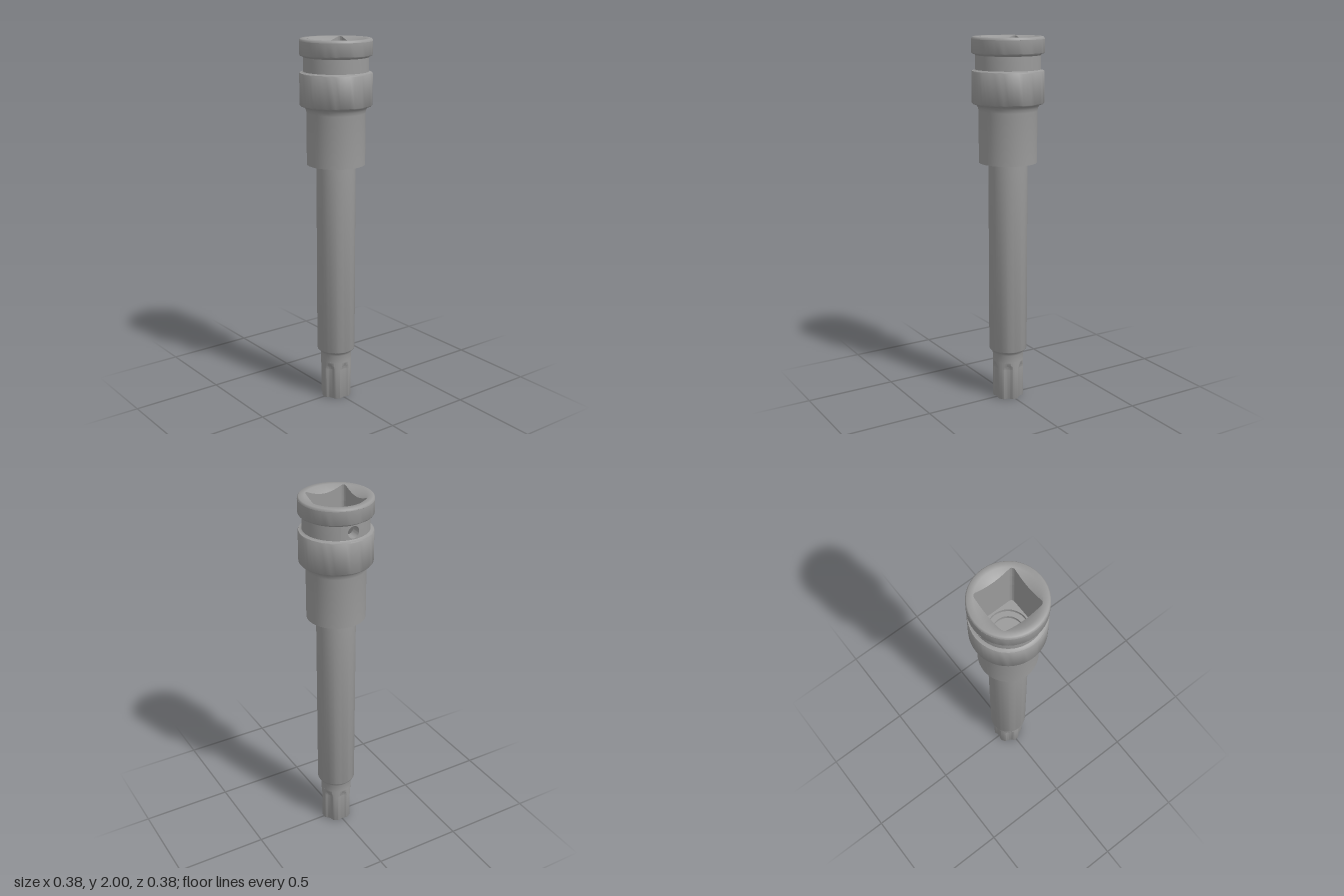
import * as THREE from 'three';
import { toCreasedNormals } from 'three/addons/utils/BufferGeometryUtils.js';

const SEGMENTS = 48;
const TAU = Math.PI * 2;
const steel = new THREE.MeshStandardMaterial({ color: 0x9a9a9a });

function part(name, geometry) {
  const mesh = new THREE.Mesh(toCreasedNormals(geometry, 0.8), steel);
  mesh.name = name;
  return mesh;
}

// Turned part from [radius, height] pairs; rising profiles face outwards
function turned(name, profile, start = 0, length = TAU, segments = SEGMENTS) {
  const points = profile.map(([r, y]) => new THREE.Vector2(r, y));
  return part(name, new THREE.LatheGeometry(points, segments, start, length));
}

// Skin over rows of [x, y, z] points
function loft(name, rows, closed = true) {
  const n = rows[0].length;
  const index = [];
  for (let i = 0; i < rows.length - 1; i++) {
    for (let j = 0; j < (closed ? n : n - 1); j++) {
      const k = (j + 1) % n;
      const a = i * n + j, b = i * n + k, c = b + n, d = a + n;
      index.push(a, c, b, a, d, c);
    }
  }
  const geometry = new THREE.BufferGeometry();
  geometry.setAttribute('position', new THREE.Float32BufferAttribute(rows.flat(2), 3));
  geometry.setIndex(index);
  return part(name, geometry);
}

// Rounded square outline [x, z]; the last SIDE points belong to the -z side
const HALF = 0.115, CORNER = 0.018, SIDE = 9;
function squareOutline() {
  const points = [];
  const inner = HALF - CORNER;
  const corner = (q, t) => {
    const c = -Math.PI / 4 + q * Math.PI / 2;
    const a = c + (t - 0.5) * Math.PI / 2;
    return [
      Math.sign(Math.cos(c)) * inner + CORNER * Math.cos(a),
      Math.sign(Math.sin(c)) * inner + CORNER * Math.sin(a),
    ];
  };
  for (let q = 0; q < 4; q++) {
    for (let i = 0; i <= 5; i++) points.push(corner(q, i / 5));
    const from = corner(q, 1), to = corner(q + 1, 0);
    for (let i = 1; i <= SIDE; i++) {
      const t = i / (SIDE + 1);
      points.push([from[0] + (to[0] - from[0]) * t, from[1] + (to[1] - from[1]) * t]);
    }
  }
  return points;
}

// Square drive opening: softly rounded rim, conical lead-in, walls and floor
function driveSocket(rimRadius, rimY, floorY, boreRadius, bandTop, bandBottom) {
  const group = new THREE.Group();
  group.name = 'driveSocket';
  const outline = squareOutline();
  const level = y => outline.map(([x, z]) => [x, y, z]);
  const ring = (r, y) => outline.map(([x, z]) => {
    const s = r / Math.hypot(x, z);
    return [x * s, y, z * s];
  });
  const mouth = outline.map(([x, z]) => [x, 2 - (0.157 - Math.hypot(x, z)) * 0.7, z]);
  const open = row => row.slice(0, row.length - SIDE);
  group.add(
    loft('socketMouth', [
      ring(rimRadius, rimY), ring(rimRadius - 0.002, 1.995), ring(rimRadius - 0.007, 2),
      ring(0.157, 2), mouth,
    ]),
    loft('socketUpperWall', [mouth, level(bandTop)]),
    // the -z wall of this band is filled by the pin hole
    loft('socketMiddleWall', [open(level(bandTop)), open(level(bandBottom))], false),
    loft('socketLowerWall', [level(bandBottom), level(floorY)]),
    loft('socketFloor', [level(floorY), ring(boreRadius, floorY)]),
  );
  return group;
}

// Radial retaining hole from the groove surface through to the socket wall
function pinHole(y, grooveRadius, halfAngle, grooveHalf, wallHalf) {
  const COUNT = 32, RADIUS = 0.032;
  const row = (w, h, t, place) => Array.from({ length: COUNT }, (_, j) => {
    const c = Math.cos(j / COUNT * TAU), s = Math.sin(j / COUNT * TAU);
    const k = 1 / Math.max(Math.abs(c), Math.abs(s));
    const u = THREE.MathUtils.lerp(c * RADIUS, c * k * w, t);
    const v = THREE.MathUtils.lerp(s * RADIUS, s * k * h, t);
    return place(u, y + v);
  });
  const wrap = (u, v) => [
    grooveRadius * Math.sin(u / grooveRadius), v, -grooveRadius * Math.cos(u / grooveRadius),
  ];
  const flat = (u, v) => [u, v, -HALF];
  const width = grooveRadius * halfAngle;
  const rows = [1, 0.66, 0.33, 0].map(t => row(width, grooveHalf, t, wrap));
  rows.push(row(0, 0, 0, flat), row(HALF - CORNER, wallHalf, 1, flat));
  return loft('pinHole', rows);
}

// Six-flute driving tip; the shallow flutes run out in rounded arches
function flutedTip(radius, topY) {
  const COUNT = 144, FLUTE = 0.05, DEPTH_CENTRE = 0.124;
  const section = (y, scale, runout) => Array.from({ length: COUNT }, (_, j) => {
    const a = j / COUNT * TAU;
    const off = (a % (TAU / 6)) - TAU / 12;
    const d = DEPTH_CENTRE + (radius + FLUTE - DEPTH_CENTRE) * runout;
    const disc = FLUTE ** 2 - (d * Math.sin(off)) ** 2;
    const cut = disc > 0 ? d * Math.cos(off) - Math.sqrt(disc) : radius;
    const r = Math.min(radius, cut) * scale;
    return [r * Math.cos(a), y, r * Math.sin(a)];
  });
  const rows = [section(0, 0, 0), section(0, 0.96, 0), section(0.007, 1, 0), section(0.17, 1, 0)];
  for (let i = 1; i <= 8; i++) rows.push(section(0.17 + 0.04 * i / 8, 1, (i / 8) ** 2));
  rows.push(section(topY, 1, 1));
  return loft('flutedTip', rows);
}

export function createModel() {
  const model = new THREE.Group();
  model.name = 'bitSocket';

  const tipRadius = 0.086, tipTop = 0.22, shaftRadius = 0.105;
  const bodyRadius = 0.192, grooveRadius = 0.172, grooveY = 1.868;
  const grooveHalf = 0.037, wallHalf = 0.045, gap = Math.PI / 8;
  const floorY = 1.65, rimY = 1.988;

  model.add(flutedTip(tipRadius, tipTop));

  // Long bit shaft with a small shoulder above the tip
  model.add(turned('shaft', [
    [tipRadius, tipTop], [tipRadius, 0.262], [0.09, 0.273], [0.097, 0.28],
    [0.103, 0.283], [shaftRadius, 0.288], [shaftRadius, 1.34],
  ]));

  // Stepped socket body up to the groove
  model.add(turned('body', [
    [shaftRadius, 1.339], [0.156, 1.339], [0.156, 1.615], [0.159, 1.632],
    [0.167, 1.645], [0.178, 1.651], [0.187, 1.653], [bodyRadius, 1.659],
    [bodyRadius, 1.82], [0.189, 1.825], [0.177, 1.827], [grooveRadius, grooveY - grooveHalf],
  ]));

  // Retaining groove, left open where the pin hole sits
  model.add(turned('groove', [
    [grooveRadius, grooveY - grooveHalf], [grooveRadius, grooveY + grooveHalf],
  ], Math.PI + gap, TAU - 2 * gap, 42));
  model.add(pinHole(grooveY, grooveRadius, gap, grooveHalf, wallHalf));

  // Head above the groove
  model.add(turned('head', [
    [grooveRadius, grooveY + grooveHalf], [0.177, 1.911], [0.189, 1.914],
    [bodyRadius, 1.919], [bodyRadius, rimY],
  ]));

  model.add(driveSocket(
    bodyRadius, rimY, floorY, shaftRadius, grooveY + wallHalf, grooveY - wallHalf,
  ));

  // Stepped round bore below the square floor
  model.add(turned('floorBore', [
    [shaftRadius, floorY], [shaftRadius, floorY - 0.02], [0.078, floorY - 0.02],
    [0.078, floorY - 0.04], [0, floorY - 0.04],
  ]));

  return model;
}
